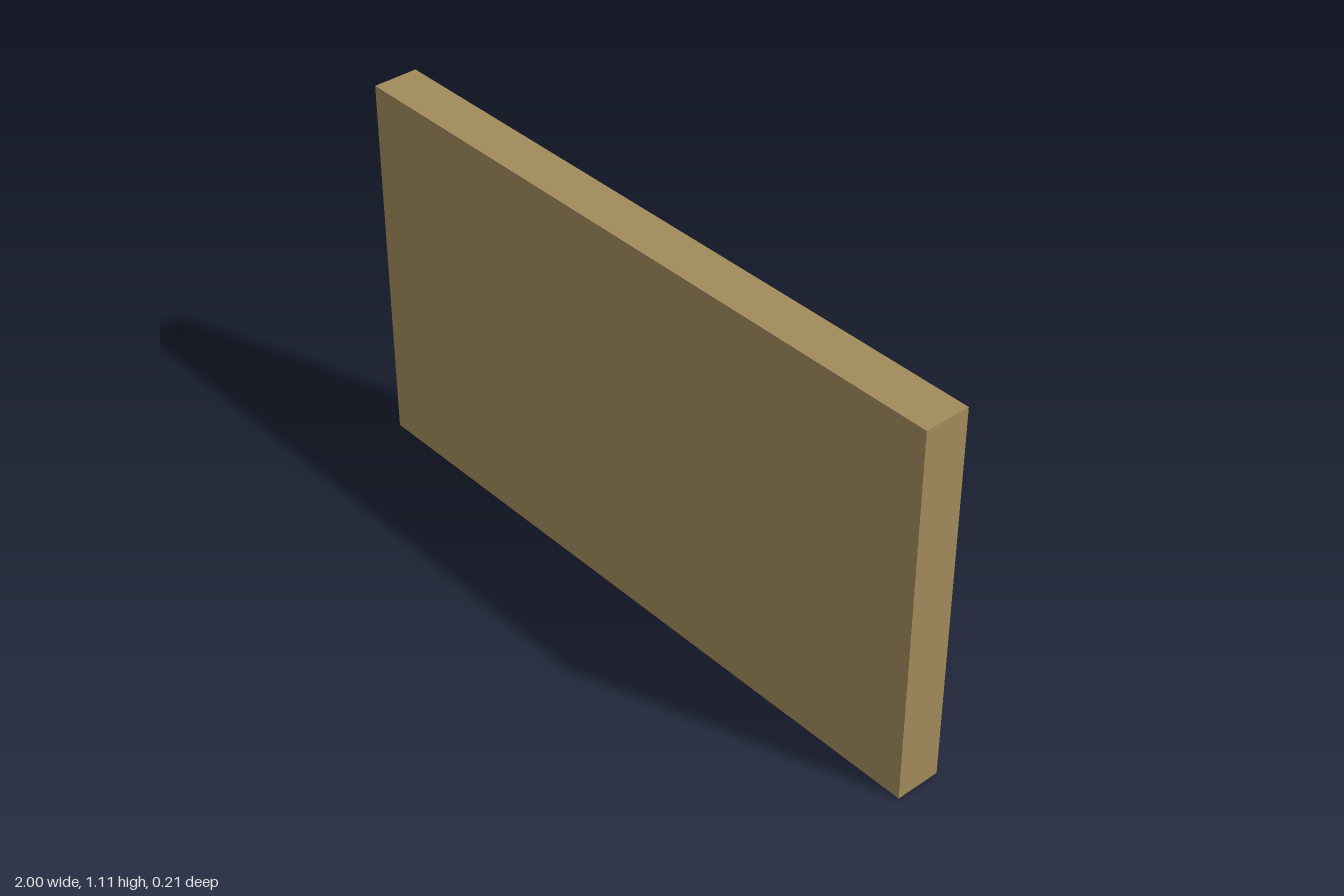
import * as THREE from 'three';

export function createModel() {
  const group = new THREE.Group();
  const material = (name, color) => {
    const m = new THREE.MeshStandardMaterial({ color });
    m.name = name;
    return m;
  };
  const tan = material('tan wood', 0xa28b5b);
  const teal = material('dark teal', 0x2c585c);
  const pale = material('pale grey', 0xc8c3b8);

  // Box centred on x, given by its y and z limits
  const addBox = (name, mat, width, y0, y1, z0, z1) => {
    const mesh = new THREE.Mesh(new THREE.BoxGeometry(width, y1 - y0, z1 - z0), mat);
    mesh.name = name;
    mesh.position.set(0, (y0 + y1) / 2, (z0 + z1) / 2);
    group.add(mesh);
  };

  // Thick board, with a raised panel on its back
  addBox('board', tan, 2, 0, 1.111, -0.028, 0.104);
  addBox('panel', teal, 1.72, 0.14, 0.972, -0.078, -0.028);

  // Two raised bars on the panel
  addBox('upperBar', pale, 1.224, 0.623, 0.712, -0.104, -0.078);
  addBox('lowerBar', pale, 0.78, 0.378, 0.444, -0.104, -0.078);

  return group;
}
